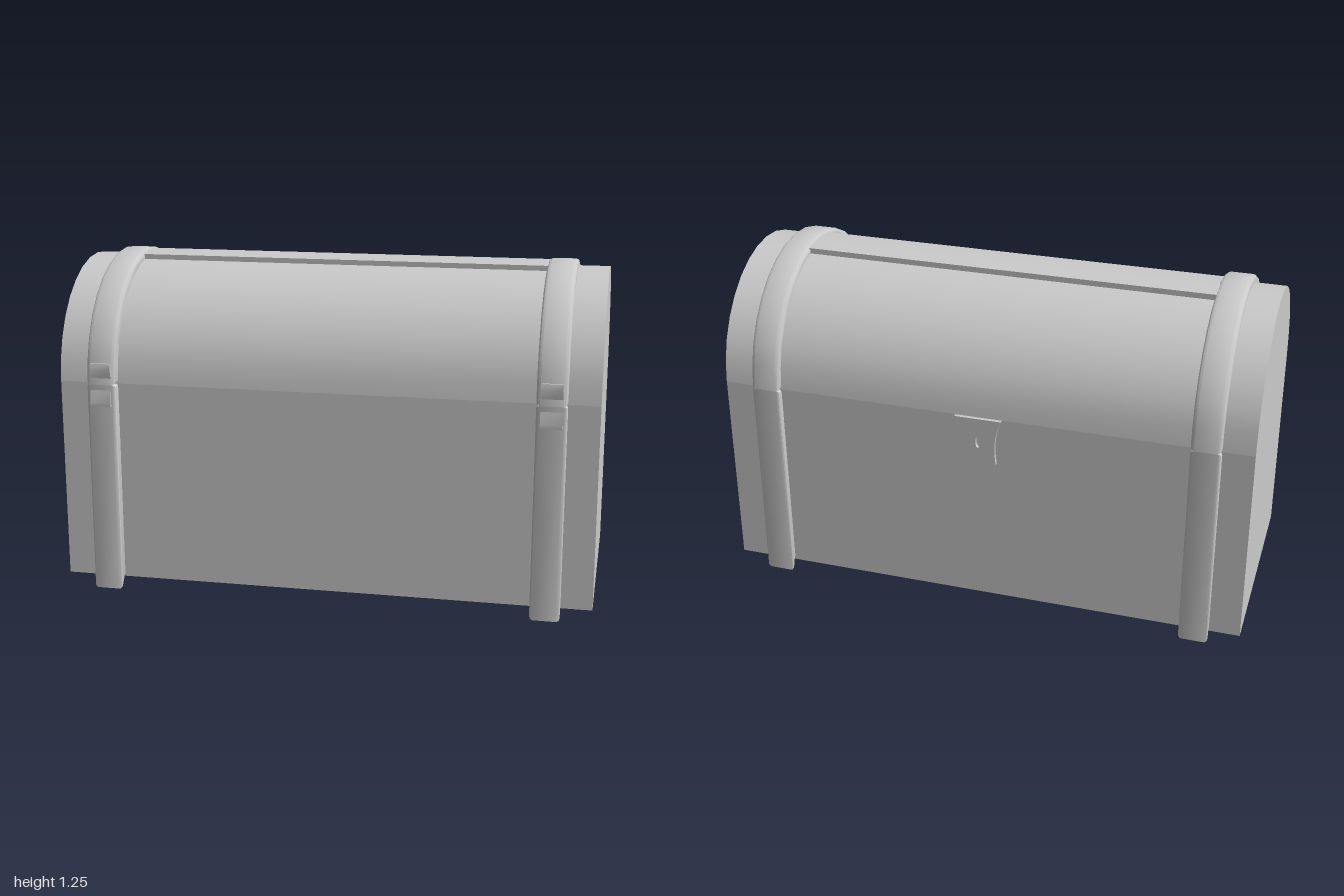
import * as THREE from 'three';
import { toCreasedNormals } from 'three/addons/utils/BufferGeometryUtils.js';

const material = new THREE.MeshStandardMaterial({ color: 0xcccccc });

function part(name, geometry) {
  const mesh = new THREE.Mesh(geometry, material);
  mesh.name = name;
  return mesh;
}

// Extrudes a [z, y] outline along x between x0 and x1, with optional rounded rims.
function extrudeX(points, x0, x1, bevel = 0) {
  const shape = new THREE.Shape(points.map(([z, y]) => new THREE.Vector2(-z, y)));
  const geometry = new THREE.ExtrudeGeometry(shape, {
    depth: x1 - x0 - 2 * bevel, bevelEnabled: bevel > 0,
    bevelSize: bevel, bevelThickness: bevel, bevelOffset: -bevel, bevelSegments: 3,
  });
  geometry.rotateY(Math.PI / 2);
  geometry.translate(x0 + bevel, 0, 0);
  return toCreasedNormals(geometry, 0.65);
}

// Elliptic arc of [z, y] points from the front over the top to the back.
function arc(rz, ry, cz, cy, from = 0, to = Math.PI, segments = 16) {
  return Array.from({ length: segments + 1 }, (_, i) => {
    const a = from + (to - from) * i / segments;
    return [cz + rz * Math.cos(a), cy + ry * Math.sin(a)];
  });
}

export function createModel() {
  const chest = new THREE.Group();
  chest.name = 'chest';
  const seam = 0.8, front = 0.42, back = -0.438, mid = (front + back) / 2;

  // Box and domed lid
  chest.add(part('body', extrudeX([[front, 0.04], [front, seam], [back, seam], [back, 0.04]], -1, 1)));
  chest.add(part('lid', extrudeX(arc(0.429, 0.426, mid, seam), -1, 1)));

  // Raised strip along the crown of the lid
  const crown = arc(0.455, 0.445, -0.012, seam, Math.PI / 2 - 0.195, Math.PI / 2 + 0.195, 6);
  chest.add(part('crownStrip', extrudeX([[0.075, 1.195], ...crown, [-0.1, 1.195]], -0.8, 0.8)));

  for (const side of [-1, 1]) {
    const x = side * 0.83, x0 = x - 0.055, x1 = x + 0.055;

    // Strap over the lid
    const strap = [...arc(0.459, 0.452, -0.002, seam), ...arc(0.395, 0.395, mid, seam).reverse()];
    chest.add(part('lidStrap', extrudeX(strap, x0, x1, 0.014)));

    // Straps down the front and back, ending in slanted feet
    for (const [outer, inner, name] of [[0.457, front, 'frontStrap'], [-0.461, back, 'backStrap']]) {
      const s = Math.sign(outer);
      const outline = [[outer, 0], [outer, seam], [inner - s * 0.04, seam], [inner - s * 0.04, 0.08], [inner, 0.04]];
      chest.add(part(name, extrudeX(s > 0 ? outline : outline.reverse(), x0, x1, 0.012)));
    }

    // Two-leaf latch across the seam
    const latch = new THREE.Group();
    latch.name = 'latch';
    const upper = [[0.44, 0.8], [0.45, 0.8], [0.461, 0.86], [0.457, 0.88], [0.43, 0.88]];
    const lower = [[0.44, 0.72], [0.465, 0.72], [0.466, 0.735], [0.452, 0.805], [0.44, 0.805]];
    latch.add(part('upperLeaf', extrudeX(upper, x - 0.039, x + 0.039)));
    latch.add(part('lowerLeaf', extrudeX(lower, x - 0.039, x + 0.039)));
    const pin = part('latchPin', new THREE.CylinderGeometry(0.008, 0.008, 0.08, 10));
    pin.rotation.z = Math.PI / 2;
    pin.position.set(x, 0.8, 0.448);
    latch.add(pin);
    chest.add(latch);
  }

  // Waisted lock plate with a keyhole on the back
  const plate = new THREE.Shape();
  plate.moveTo(-0.088, 0.8);
  plate.quadraticCurveTo(-0.052, 0.72, -0.068, 0.62);
  plate.quadraticCurveTo(0, 0.592, 0.068, 0.62);
  plate.quadraticCurveTo(0.052, 0.72, 0.088, 0.8);
  plate.closePath();
  const keyhole = new THREE.Path();
  keyhole.absellipse(0, 0.705, 0.009, 0.024, 0, Math.PI * 2, true);
  plate.holes.push(keyhole);
  const lock = part('lockPlate', toCreasedNormals(new THREE.ExtrudeGeometry(plate, {
    depth: 0.014, bevelEnabled: false, curveSegments: 10,
  }), 0.65));
  lock.rotation.y = Math.PI;
  lock.position.z = back;
  chest.add(lock);

  return chest;
}
